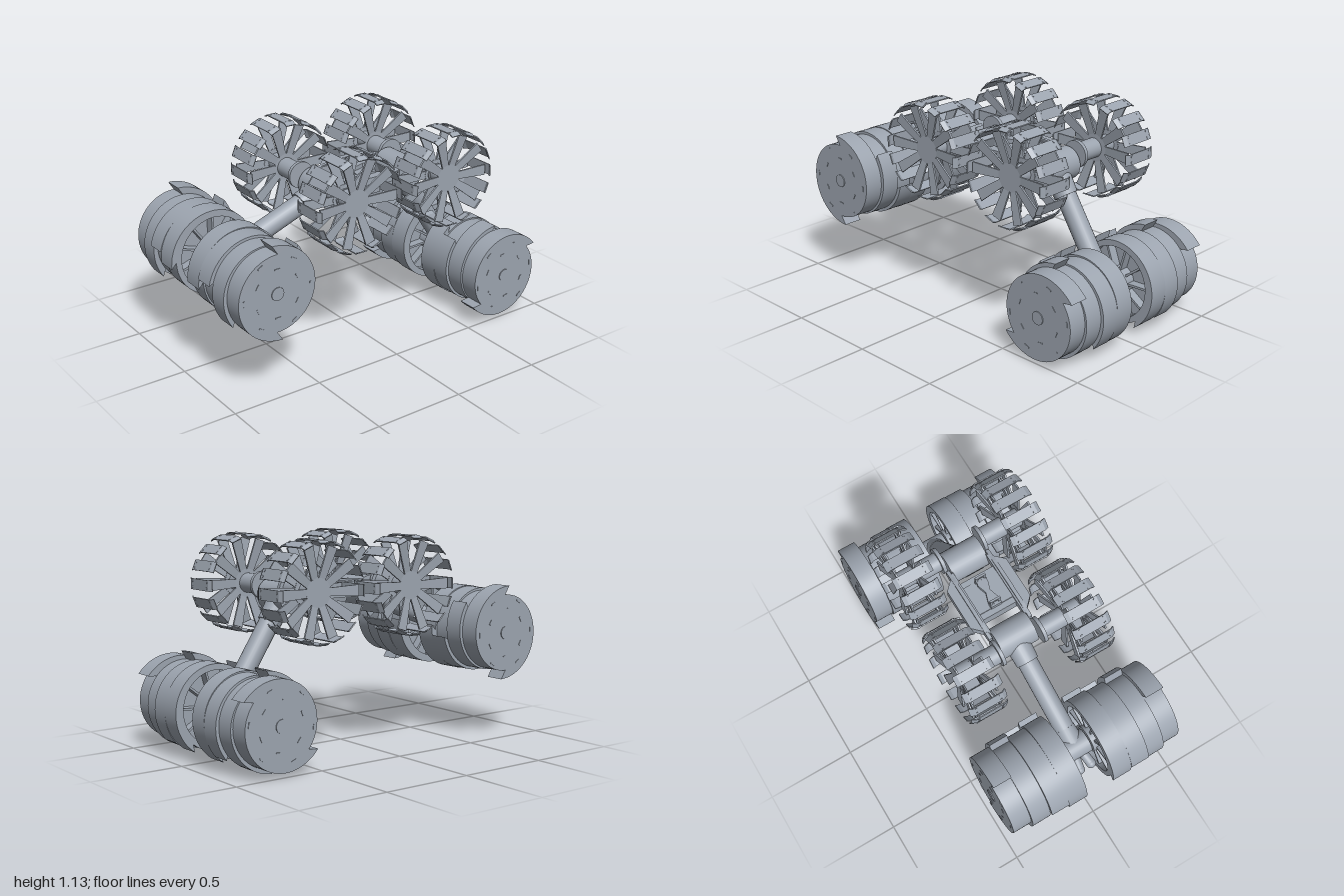
import * as THREE from 'three';
import { toCreasedNormals } from 'three/addons/utils/BufferGeometryUtils.js';

const metal = new THREE.MeshStandardMaterial({ color: 0x9da5b0 });
metal.name = 'grey metal';

function add(parent, name, geo, x = 0, y = 0, z = 0) {
  const m = new THREE.Mesh(geo, metal);
  m.name = name;
  m.position.set(x, y, z);
  parent.add(m);
  return m;
}
const box = (w, h, d) => new THREE.BoxGeometry(w, h, d);
const axial = (r, len, seg = 32) => new THREE.CylinderGeometry(r, r, len, seg).rotateZ(-Math.PI / 2);
const shape = pts => new THREE.Shape(pts.map(p => new THREE.Vector2(p[0], p[1])));
const extrude = (s, depth) => new THREE.ExtrudeGeometry(s, { depth, bevelEnabled: false, curveSegments: 24 });

// Cylinder between two points
function rod(parent, name, a, b, r0, r1 = r0) {
  const d = b.clone().sub(a);
  const m = add(parent, name, new THREE.CylinderGeometry(r1, r0, d.length(), 24));
  m.position.copy(a).addScaledVector(d, 0.5);
  m.quaternion.setFromUnitVectors(new THREE.Vector3(0, 1, 0), d.normalize());
}

// Drum section: two spiral lobes, each ending in an undercut scoop lip
function drumSection(phase, base, width, hole) {
  const pts = [], n = 36;
  for (let lobe = 0; lobe < 2; lobe++) {
    for (let i = 0; i <= n; i++) {
      const t = -0.04 + 1.04 * i / n, r = base + (0.253 - base) * (1 - t) ** 2;
      const a = phase + (lobe + t) * Math.PI;
      pts.push([-r * Math.cos(a), r * Math.sin(a)]);
    }
  }
  const s = shape(pts);
  if (hole) {
    const h = new THREE.Path();
    h.absarc(0, 0, hole, 0, Math.PI * 2);
    s.holes.push(h);
  }
  return toCreasedNormals(extrude(s, width).rotateY(Math.PI / 2), 0.5);
}

function drum(side) {
  const g = new THREE.Group();
  g.name = side > 0 ? 'leftDrum' : 'rightDrum';
  const edges = [0.08, 0.19, 0.295, 0.4, 0.505];
  // Scoop angle and base radius of each section, from the arm outward
  const sections = [[0, 0.226], [0.23, 0.216], [-0.6, 0.21], [1.6, 0.208]];
  sections.forEach(([phase, base], i) => {
    const w = edges[i + 1] - edges[i];
    add(g, 'scoopSection', drumSection(phase, base, w, i ? 0 : 0.195), side > 0 ? edges[i] : -edges[i + 1]);
  });
  // Inner recess: back plate, ribs and hub
  add(g, 'recessPlate', axial(0.197, 0.02), side * 0.15);
  add(g, 'drumHub', axial(0.075, 0.1), side * 0.125);
  for (let i = 0; i < 10; i++) {
    const a = i * Math.PI / 5;
    const rib = add(g, 'rib', box(0.055, 0.14, 0.012), side * 0.118, 0.13 * Math.cos(a), 0.13 * Math.sin(a));
    rib.rotation.x = a;
  }
  // Outer cap bolt and short slot plates
  add(g, 'capBolt', axial(0.035, 0.012), side * 0.504);
  for (let i = 0; i < 12; i++) {
    const a = i * Math.PI / 6, r = i % 2 ? 0.19 : 0.13;
    const slot = add(g, 'slotPlate', box(0.008, 0.006, 0.03), side * 0.504, r * Math.cos(a), r * Math.sin(a));
    slot.rotation.x = a;
  }
  return g;
}

// Tread plate with bent-down tapered ends
function treadGeometry() {
  const pts = [[-0.107, -0.012], [-0.085, 0], [0.085, 0], [0.107, -0.012], [0.104, -0.017], [0.083, -0.006], [-0.083, -0.006], [-0.104, -0.017]];
  return extrude(shape(pts), 0.058).translate(0, 0, -0.029);
}

function spokeGeometry() {
  const pts = [[-0.02, 0.05], [0.02, 0.05], [0.029, 0.24], [-0.029, 0.24]];
  return extrude(shape(pts), 0.01).translate(0, 0, -0.005).rotateY(Math.PI / 2);
}

function wheel(side, z) {
  const g = new THREE.Group();
  g.name = 'wheel';
  g.position.set(side * 0.32, 0.87, z);
  const tread = treadGeometry(), spoke = spokeGeometry(), stud = new THREE.CylinderGeometry(0.007, 0.007, 0.004, 8);
  for (let i = 0; i < 16; i++) {
    const unit = new THREE.Group();
    unit.name = 'treadUnit';
    unit.rotation.x = i * Math.PI / 8;
    add(unit, 'tread', tread, 0, 0.262, 0);
    for (const x of [-0.07, 0.07]) for (const dz of [-0.016, 0.016]) add(unit, 'bolt', stud, x, 0.262, dz);
    g.add(unit);
  }
  for (const e of [-1, 1]) {
    for (let i = 0; i < 10; i++) {
      const arm = new THREE.Group();
      arm.name = 'spokeArm';
      arm.rotation.x = (i + 0.5) * Math.PI / 5;
      const m = add(arm, 'spoke', spoke, e * 0.042);
      m.rotation.z = -e * 0.12;
      g.add(arm);
    }
    add(g, 'hubDisc', axial(0.078, 0.012, 10), e * 0.05);
  }
  add(g, 'wheelHub', axial(0.05, 0.11, 24));
  return g;
}

// Shoulder, arm tube, drum bearing and drum pair
function diggingArm(name, shoulder, end, flip) {
  const g = new THREE.Group();
  g.name = name;
  const a = new THREE.Vector3(0, shoulder[0], shoulder[1]);
  const b = new THREE.Vector3(0, end[0], end[1]);
  const d = b.clone().sub(a).normalize();
  const along = (p, t) => p.clone().addScaledVector(d, t);
  add(g, 'shoulder', axial(0.088, 0.21), 0, a.y, a.z);
  rod(g, 'armCollar', a, along(a, 0.16), 0.07, 0.062);
  rod(g, 'armTube', a, b, 0.054);
  rod(g, 'lowerCollar', along(b, -0.11), b, 0.056, 0.064);
  add(g, 'bearing', axial(0.066, 0.14), 0, b.y, b.z);
  add(g, 'drumAxle', axial(0.04, 0.3), 0, b.y, b.z);
  // Twin motor ends beyond the bearing
  for (const s of [-1, 1]) {
    const p = along(b, 0.04), q = along(b, 0.12);
    p.x = s * 0.022;
    q.x = s * 0.034;
    rod(g, 'motor', p, q, 0.026);
    add(g, 'motorTip', new THREE.SphereGeometry(0.027, 16, 12), q.x, q.y, q.z);
  }
  const drums = new THREE.Group();
  drums.name = 'drumPair';
  drums.position.copy(b);
  if (flip) drums.rotation.set(-0.9, Math.PI, 0);
  drums.add(drum(1), drum(-1));
  g.add(drums);
  return g;
}

function body() {
  const g = new THREE.Group();
  g.name = 'body';
  add(g, 'mainBox', box(0.34, 0.07, 0.235), 0, 0.843, -0.128);
  add(g, 'lidPlate', box(0.22, 0.01, 0.17), 0, 0.88, -0.128);
  // Belly box tapering downward
  const belly = box(0.24, 0.1, 0.16), p = belly.attributes.position;
  for (let i = 0; i < p.count; i++) if (p.getY(i) < 0) p.setXYZ(i, p.getX(i) * 0.85, p.getY(i), p.getZ(i) * 0.7);
  belly.computeVertexNormals();
  add(g, 'bellyBox', belly, 0, 0.76, -0.125);
  // Waisted handle bar with a raised loop at each end
  const bar = shape([[-0.032, -0.09], [0.032, -0.09], [0.03, -0.05], [0.014, 0], [0.03, 0.05], [0.025, 0.08], [-0.025, 0.08], [-0.03, 0.05], [-0.014, 0], [-0.03, -0.05]]);
  add(g, 'handleBar', extrude(bar, 0.025).rotateX(-Math.PI / 2), 0, 0.883, -0.128);
  const loop = shape([[-0.033, 0], [0.033, 0], [0.03, 0.06], [-0.03, 0.06]]);
  loop.holes.push(new THREE.Path([[-0.018, 0.022], [-0.018, 0.046], [0.018, 0.046], [0.018, 0.022]].map(v => new THREE.Vector2(v[0], v[1]))));
  for (const z of [-0.205, -0.055]) add(g, 'handleLoop', extrude(loop, 0.012), 0, 0.887, z - 0.006);
  const sideProfile = shape([[-0.1, 0.885], [-0.02, 0.898], [0.04, 0.902], [0.2, 0.902], [0.26, 0.898], [0.34, 0.885], [0.34, 0.85], [0.2, 0.805], [0.04, 0.805], [-0.1, 0.85]]);
  for (const side of [-1, 1]) {
    // Side frame, narrowing in height toward both axles
    add(g, 'sideFrame', extrude(sideProfile, 0.02).rotateY(Math.PI / 2), side * 0.12 - 0.01);
    const plate = shape([[0.1, 0.32], [0.18, 0.24], [0.18, 0], [0.1, -0.08]].map(v => [side * v[0], v[1]]));
    add(g, 'framePlate', extrude(plate, 0.05).rotateX(-Math.PI / 2), 0, 0.842, 0);
    // Wheel drives
    for (const z of [0.18, -0.42]) {
      add(g, 'driveFlange', axial(0.073, 0.02), side * 0.125, 0.87, z);
      add(g, 'driveMotor', axial(0.053, 0.17), side * 0.2, 0.87, z);
    }
  }
  return g;
}

export function createModel() {
  const model = new THREE.Group();
  model.name = 'excavatorRover';
  model.add(body());
  for (const side of [-1, 1]) for (const z of [0.175, -0.425]) model.add(wheel(side, z));
  model.add(diggingArm('frontArm', [0.82, 0.12], [0.586, 0.743], false));
  model.add(diggingArm('rearArm', [0.82, -0.38], [0.262, -0.742], true));
  return model;
}
